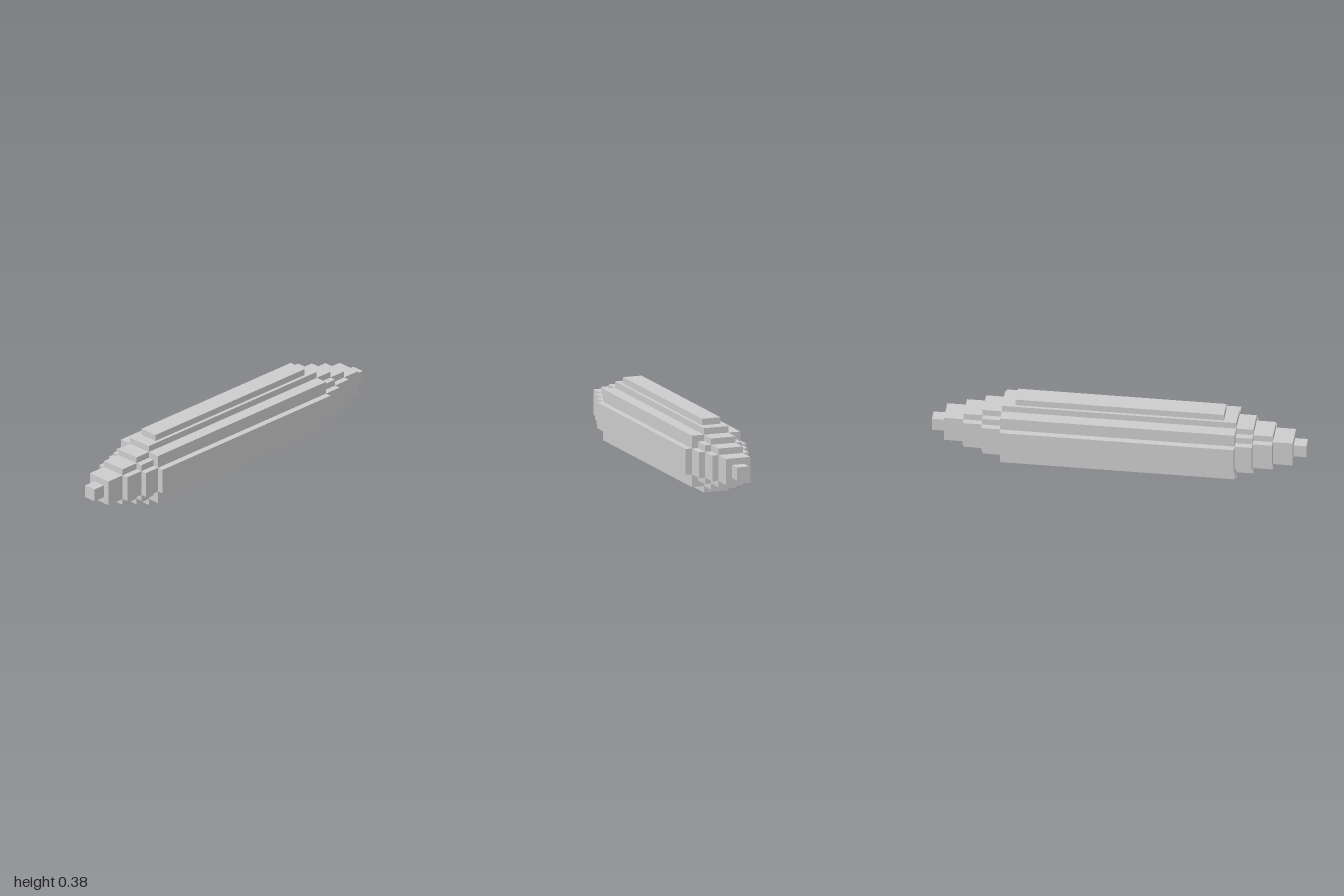
import * as THREE from 'three';

const CENTER_Y = 0.175;

// Stepped outline, mirrored from one quadrant of [halfWidth, halfHeight] steps
function steppedShape(steps) {
  const quad = [];
  steps.forEach(([w, h], i) => {
    if (i > 0) quad.push([w, steps[i - 1][1]]);
    quad.push([w, h]);
  });
  const flipped = [...quad].reverse();
  const points = [
    ...quad,
    ...flipped.map(([x, y]) => [-x, y]),
    ...quad.map(([x, y]) => [-x, -y]),
    ...flipped.map(([x, y]) => [x, -y]),
  ];
  return new THREE.Shape(points.map(([x, y]) => new THREE.Vector2(x, y)));
}

export function createModel() {
  const group = new THREE.Group();
  const material = new THREE.MeshStandardMaterial({ color: 0xcccccc, flatShading: true });

  function addSection(name, steps, z0, z1) {
    const geometry = new THREE.ExtrudeGeometry(steppedShape(steps), {
      depth: z1 - z0, bevelEnabled: false,
    });
    const mesh = new THREE.Mesh(geometry, material);
    mesh.name = name;
    mesh.position.set(0, CENTER_Y, z0);
    group.add(mesh);
  }

  // Long main hull
  addSection('hull', [[0.174, 0.07], [0.139, 0.139], [0.07, 0.174]], -0.622, 0.63);

  // Tapering steps toward both ends: outline, back z range, front z range
  const tapers = [
    ['shoulder', [[0.139, 0.07], [0.105, 0.105], [0.07, 0.139]], [-0.724, -0.622], [0.63, 0.721]],
    ['neck', [[0.105, 0.07], [0.07, 0.105]], [-0.826, -0.724], [0.721, 0.825]],
    ['nose', [[0.07, 0.07]], [-0.931, -0.826], [0.825, 0.931]],
    ['tip', [[0.035, 0.035]], [-1, -0.931], [0.931, 1]],
  ];
  for (const [name, steps, back, front] of tapers) {
    addSection(name + 'Back', steps, ...back);
    addSection(name + 'Front', steps, ...front);
  }

  // Raised strip along the top
  const ridge = new THREE.Mesh(new THREE.BoxGeometry(0.105, 0.035, 1.112), material);
  ridge.name = 'topRidge';
  ridge.position.set(-0.001, 0.3665, 0.006);
  group.add(ridge);

  return group;
}
